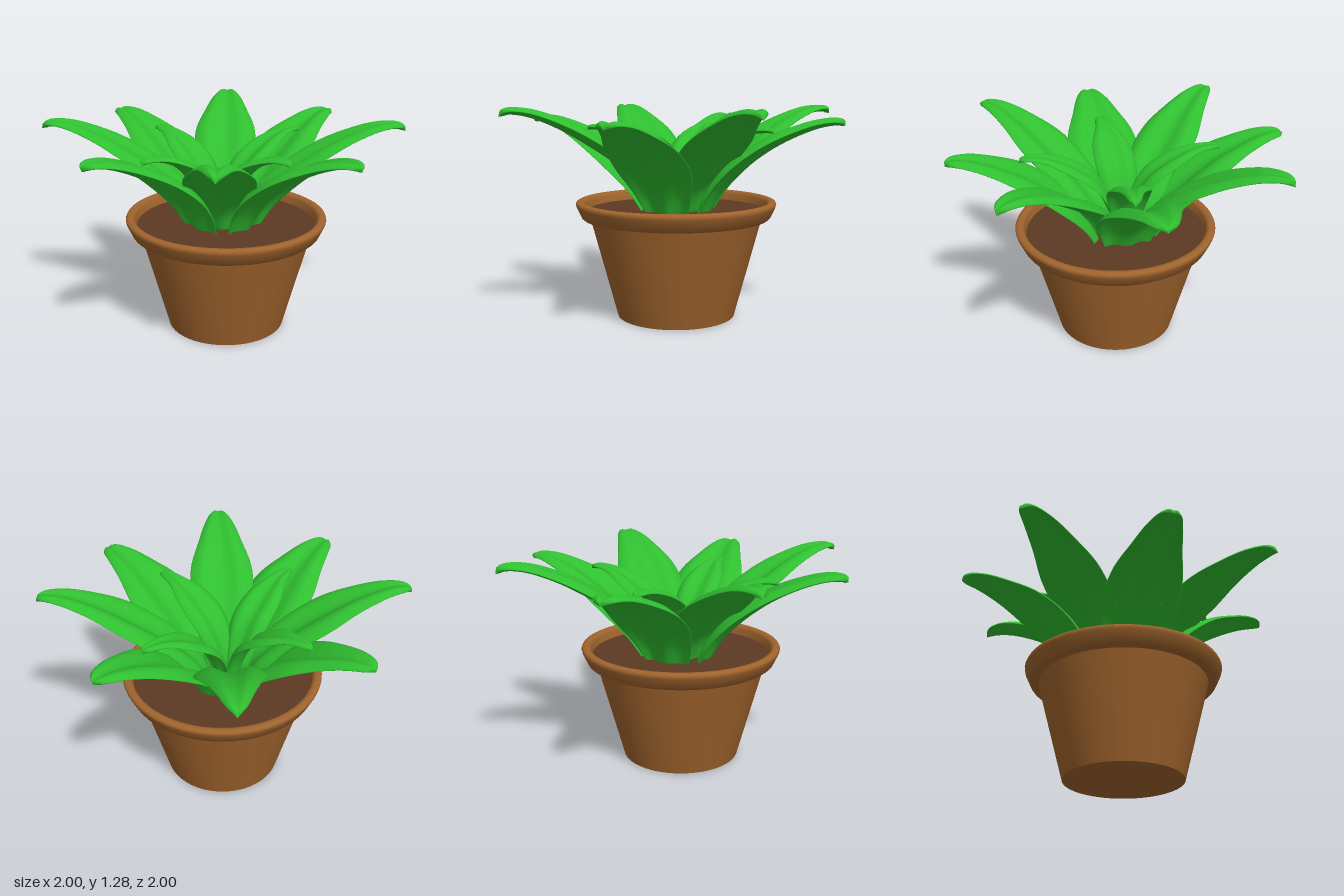
import * as THREE from 'three';
import { toCreasedNormals } from 'three/addons/utils/BufferGeometryUtils.js';

const leafGreen = new THREE.MeshStandardMaterial({ name: 'leaf green', color: 0x30bf30 });
const terracotta = new THREE.MeshStandardMaterial({ name: 'terracotta', color: 0xa0642d });
const soilBrown = new THREE.MeshStandardMaterial({ name: 'soil brown', color: 0x5c3a22 });

// Leaf along +x: each station is [distance out, height, half width].
// The section is a thin closed loop with a valley in the middle and drooping edges.
function leafGeometry(stations, thickness) {
  const curve = new THREE.CatmullRomCurve3(stations.map((s) => new THREE.Vector3(...s)));
  const rows = 36, around = 32;
  const positions = [], indices = [];
  for (let i = 0; i <= rows; i++) {
    const t = i / rows;
    const c = curve.getPoint(t);
    const d = curve.getTangent(t);
    const len = Math.hypot(d.x, d.y) || 1;
    const nx = -d.y / len, ny = d.x / len;
    const w = Math.max(c.z, 0.001);
    const th = Math.min(thickness, w * 0.6);
    for (let j = 0; j < around; j++) {
      const a = (j / around) * Math.PI * 2;
      const u = Math.cos(a);
      const ridge = 0.2 * w * (1 - Math.cos(1.7 * Math.PI * u)) / 2;
      const off = ridge + th * Math.sin(a);
      positions.push(c.x + nx * off, c.y + ny * off, u * w);
      if (i < rows) {
        const k = (j + 1) % around;
        const p = i * around + j, q = i * around + k;
        indices.push(p, p + around, q, q, p + around, q + around);
      }
    }
  }
  const g = new THREE.BufferGeometry();
  g.setAttribute('position', new THREE.Float32BufferAttribute(positions, 3));
  g.setIndex(indices);
  g.computeVertexNormals();
  return g;
}

export function createModel() {
  const model = new THREE.Group();
  model.name = 'pottedPlant';

  const add = (name, geometry, material, x = 0, y = 0, z = 0) => {
    const mesh = new THREE.Mesh(geometry, material);
    mesh.name = name;
    mesh.position.set(x, y, z);
    model.add(mesh);
    return mesh;
  };

  // Pot with a closed base and a rounded, flared rim
  const potProfile = [
    [0, 0], [0.36, 0], [0.52, 0.605], [0.56, 0.605], [0.573, 0.615],
    [0.603, 0.68], [0.607, 0.695], [0.602, 0.706], [0.59, 0.712],
    [0.57, 0.712], [0.558, 0.705], [0.55, 0.69], [0.54, 0.63],
  ].map(([r, y]) => new THREE.Vector2(r, y));
  add('pot', toCreasedNormals(new THREE.LatheGeometry(potProfile, 64), 0.7), terracotta, 0, 0, 0.03);

  // Soil
  const soil = add('soil', new THREE.CircleGeometry(0.545, 64), soilBrown, 0, 0.65, 0.03);
  soil.rotation.x = -Math.PI / 2;

  const longLeaf = leafGeometry([
    [0.18, 0.62, 0.13], [0.26, 0.76, 0.18], [0.4, 0.91, 0.23], [0.57, 1.04, 0.215],
    [0.74, 1.13, 0.15], [0.88, 1.18, 0.1], [0.97, 1.19, 0.055], [1.0, 1.175, 0],
  ], 0.016);
  const upperLeaf = leafGeometry([
    [0.12, 0.62, 0.11], [0.2, 0.78, 0.15], [0.36, 0.93, 0.19], [0.58, 1.08, 0.195],
    [0.76, 1.18, 0.14], [0.92, 1.24, 0.09], [1.03, 1.25, 0.045], [1.07, 1.225, 0],
  ], 0.016);
  const innerLeaf = leafGeometry([
    [0.04, 0.62, 0.06], [0.07, 0.78, 0.09], [0.17, 0.96, 0.125], [0.32, 1.07, 0.115],
    [0.46, 1.13, 0.06], [0.57, 1.14, 0.03], [0.6, 1.125, 0],
  ], 0.014);

  // Two alternating rings of four large leaves
  for (let i = 0; i < 4; i++) {
    const quarter = (i * Math.PI) / 2;
    add('longLeaf', longLeaf, leafGreen).rotation.y = quarter + 0.05;
    add('upperLeaf', upperLeaf, leafGreen).rotation.y = quarter - 0.76;
  }

  // Small central leaves: [base x, base z, turn]
  [
    [0.02, -0.03, -0.1], [-0.03, -0.01, Math.PI / 2],
    [-0.02, -0.03, Math.PI + 0.1], [-0.035, -0.01, -Math.PI / 2],
  ].forEach(([x, z, turn]) => {
    add('innerLeaf', innerLeaf, leafGreen, x, 0, z).rotation.y = turn;
  });

  return model;
}
